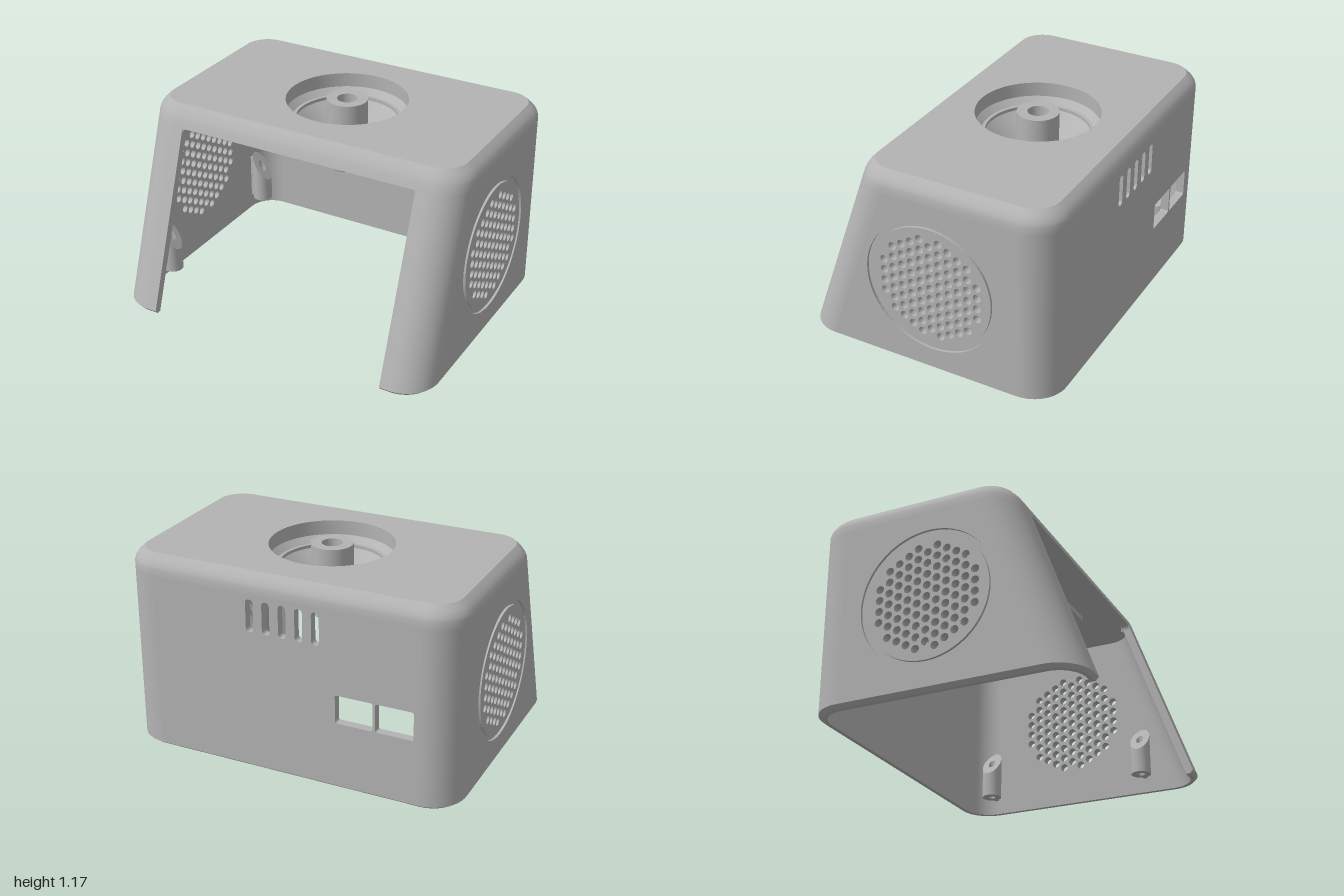
import * as THREE from 'three';
import { toCreasedNormals } from 'three/addons/utils/BufferGeometryUtils.js';

const T = 0.05, CEIL = 1.055, TOP = 1.175, BEVEL = 0.02, R = 0.2, BACK = -0.79, OPEN = 0.74;
const FUNNEL_Z = -0.18;
const frontZ = (y) => 0.79 - 0.356 * (y - BEVEL); // sloping front

export function createModel() {
  const model = new THREE.Group();
  const shellGrey = new THREE.MeshStandardMaterial({ color: 0xb3b3b3, side: THREE.DoubleSide });
  shellGrey.name = 'shell grey';

  const add = (name, geo, x = 0, y = 0, z = 0) => {
    const mesh = new THREE.Mesh(geo, shellGrey);
    mesh.name = name;
    mesh.position.set(x, y, z);
    model.add(mesh);
    return mesh;
  };

  // Surface through rows of points
  const loft = (rows) => {
    const n = rows[0].length, index = [];
    for (let i = 0; i < rows.length - 1; i++) for (let j = 0; j < n - 1; j++) {
      const a = i * n + j, b = a + n;
      index.push(a, a + 1, b, b, a + 1, b + 1);
    }
    const geo = new THREE.BufferGeometry().setFromPoints(rows.flat());
    geo.setIndex(index);
    return toCreasedNormals(geo, 0.5);
  };

  // Quarter-round corners of the plan outline at height y, pulled in by inset
  const arc = (cx, cz, r, from, y) => Array.from({ length: 13 }, (_, i) => {
    const a = from - (i / 12) * Math.PI / 2;
    return new THREE.Vector3(cx + r * Math.cos(a), y, cz + r * Math.sin(a));
  });
  const frontCorner = (y, inset, frontInset = inset) =>
    arc(1 - R, frontZ(y) - frontInset - (R - inset), R - inset, Math.PI / 2, y);
  const backCorner = (y, inset) => arc(1 - R, BACK + R, R - inset, 0, y);
  const frontEnd = (y, inset) => new THREE.Vector3(OPEN, y, frontZ(y) - inset);
  const frontWall = (y, inset) => [frontEnd(y, inset), ...frontCorner(y, inset)];
  const flip = (pts) => pts.map((p) => new THREE.Vector3(-p.x, p.y, p.z)).reverse();
  const withMirror = (pts) => [...pts, ...flip(pts)];

  // Lid: rounded slab with a softened top edge
  const lidRow = ([y, inset]) => {
    const half = [...frontCorner(y, inset, inset * 0.55), ...backCorner(y, inset)];
    const row = withMirror(half);
    return [...row, row[0].clone()];
  };
  const lidSteps = [[CEIL, 0], [1.095, 0], [1.118, 0.007], [1.14, 0.022], [1.158, 0.04], [TOP, 0.06]];
  add('lidEdge', loft(lidSteps.map(lidRow)));
  const lidFace = (name, step, holeRadius) => {
    const shape = new THREE.Shape(lidRow(step).slice(0, -1).map((p) => new THREE.Vector2(p.x, p.z)));
    shape.holes.push(new THREE.Path().absarc(0, FUNNEL_Z, holeRadius, 0, Math.PI * 2));
    add(name, new THREE.ShapeGeometry(shape, 36).rotateX(Math.PI / 2), 0, step[0], 0);
  };
  lidFace('lidTop', lidSteps[5], 0.355);
  lidFace('ceiling', lidSteps[0], 0.325);

  // Bevelled foot running round the three walls
  const foot = [[T, BEVEL], [T, 0], [0.025, 0], [0, BEVEL]];
  add('footRim', loft(foot.map(([inset, y]) =>
    withMirror([...frontWall(y, inset), ...backCorner(y, inset)]))));

  // Rounded corner walls, inside and outside
  for (const [name, profile] of [['frontCorner', frontWall], ['backCorner', backCorner]]) {
    for (const inset of [0, T]) {
      const rows = [BEVEL, CEIL].map((y) => profile(y, inset));
      add(name, loft(rows));
      add(name, loft(rows.map(flip)));
    }
  }

  const extrude = (shape, depth) =>
    new THREE.ExtrudeGeometry(shape, { depth, bevelEnabled: false, curveSegments: 10 });
  const circle = (x, y, r) => new THREE.Path().absarc(x, y, r, 0, Math.PI * 2, true);

  // Speaker grille holes on a hexagonal grid
  const GZ = -0.068, GY = 0.543, pitch = 0.066;
  const grilleHoles = [];
  for (let c = -5; c <= 5; c++) for (let k = -5; k <= 5; k++) {
    const dz = c * pitch * 0.866, dy = (k + (c % 2 ? 0.5 : 0)) * pitch;
    if (Math.hypot(dz, dy) < 0.308) grilleHoles.push([GZ + dz, GY + dy, 0.0235]);
  }
  const sideShape = () => new THREE.Shape([
    new THREE.Vector2(BACK + R, BEVEL), new THREE.Vector2(frontZ(BEVEL) - R, BEVEL),
    new THREE.Vector2(frontZ(CEIL) - R, CEIL), new THREE.Vector2(BACK + R, CEIL)]);
  const groove = 0.015;
  const innerSide = sideShape();
  innerSide.holes = grilleHoles.map((h) => circle(...h));
  const outerSide = sideShape();
  outerSide.holes.push(new THREE.Path(circle(GZ, GY, 0.4).getPoints(32)));
  const disc = new THREE.Shape(circle(GZ, GY, 0.37).getPoints(32));
  disc.holes = grilleHoles.map((h) => circle(...h));

  for (const s of [1, -1]) {
    // Side wall in two layers, leaving a ring groove round the grille
    const layer = (name, shape, depth, outerX) => add(name,
      extrude(shape, depth).rotateY(-Math.PI / 2), s > 0 ? outerX : depth - outerX);
    layer('sideWallInner', innerSide, T - groove, 1 - groove);
    layer('sideWallOuter', outerSide, groove, 1);
    layer('grilleDisc', disc, groove, 1);

    // Edge of the front opening
    const end = [T, 0].map((inset) => [0, BEVEL, CEIL].map((y) => {
      const p = frontEnd(y, y === 0 && inset === 0 ? 0.025 : inset);
      p.x *= s;
      return p;
    }));
    add('openingEdge', loft(end));

    // Rounded upper corner of the opening
    const fillet = new THREE.Shape();
    fillet.moveTo(s * OPEN, CEIL);
    fillet.lineTo(s * (OPEN - 0.04), CEIL);
    fillet.quadraticCurveTo(s * OPEN, CEIL, s * OPEN, CEIL - 0.04);
    add('openingFillet', extrude(fillet, T), 0, 0, frontZ(CEIL) - T);

    // Screw bosses with sloping tops, tied to the wall by a rib
    for (const z of [-0.6, 0.42]) {
      const tube = [[0.022, 0.09], [0.06, 0.09], [0.06, 0.32], [0.022, 0.32], [0.022, 0.09]];
      const geo = new THREE.LatheGeometry(tube.map((p) => new THREE.Vector2(...p)), 24);
      const pos = geo.attributes.position;
      for (let i = 0; i < pos.count; i++) {
        if (pos.getY(i) > 0.3) pos.setY(i, 0.32 + s * pos.getX(i) * 1.4);
      }
      add('screwBoss', toCreasedNormals(geo, 0.5), s * 0.87, 0, z);
      add('bossRib', new THREE.BoxGeometry(0.04, 0.28, 0.025), s * 0.935, 0.23, z);
    }
  }

  // Back wall with vent slots and two port windows
  const back = new THREE.Shape([[-0.8, BEVEL], [0.8, BEVEL], [0.8, CEIL], [-0.8, CEIL]]
    .map((p) => new THREE.Vector2(...p)));
  const roundedHole = (x0, x1, y0, y1, r) => {
    const h = new THREE.Path();
    h.absarc(x0 + r, y0 + r, r, -Math.PI / 2, -Math.PI, true);
    h.absarc(x0 + r, y1 - r, r, Math.PI, Math.PI / 2, true);
    h.absarc(x1 - r, y1 - r, r, Math.PI / 2, 0, true);
    h.absarc(x1 - r, y0 + r, r, 0, -Math.PI / 2, true);
    h.closePath();
    back.holes.push(h);
  };
  for (let i = -2; i <= 2; i++) roundedHole(i * 0.098 - 0.023, i * 0.098 + 0.023, 0.84, 1.03, 0.0225);
  roundedHole(-0.765, -0.545, 0.405, 0.572, 0.012);
  roundedHole(-0.53, -0.31, 0.405, 0.572, 0.012);
  add('backWall', extrude(back, T), 0, 0, BACK);

  // Funnel with a hollow centre post and a grooved neck below
  const lathe = (name, pts) => add(name, toCreasedNormals(new THREE.LatheGeometry(
    pts.map((p) => new THREE.Vector2(...p)), 64), 0.5), 0, 0, FUNNEL_Z);
  lathe('funnelBowl', [[0.355, TOP], [0.355, 1.09], [0.12, 0.86], [0.12, TOP], [0.06, TOP], [0.06, 0.75]]);
  lathe('funnelUnderside', [[0.06, 0.75], [0.11, 0.75], [0.12, 0.758], [0.12, 0.782], [0.11, 0.788],
    [0.11, 0.81], [0.12, 0.815], [0.12, 0.845], [0.325, CEIL]]);

  // Plate under the ceiling, cut out round the funnel, and two small pins
  const plate = new THREE.Shape([[-0.52, -0.55], [0.515, -0.55], [0.515, 0.2], [-0.52, 0.2]]
    .map((p) => new THREE.Vector2(...p)));
  plate.holes.push(new THREE.Path(circle(0, FUNNEL_Z, 0.3).getPoints(32)));
  add('ceilingPlate', extrude(plate, 0.03).rotateX(Math.PI / 2), 0, CEIL, 0);
  for (const x of [0.5, 0.675]) {
    add('ceilingPin', new THREE.CylinderGeometry(0.0125, 0.0125, 0.065, 12), x, CEIL - 0.0325, 0.1);
  }
  return model;
}
